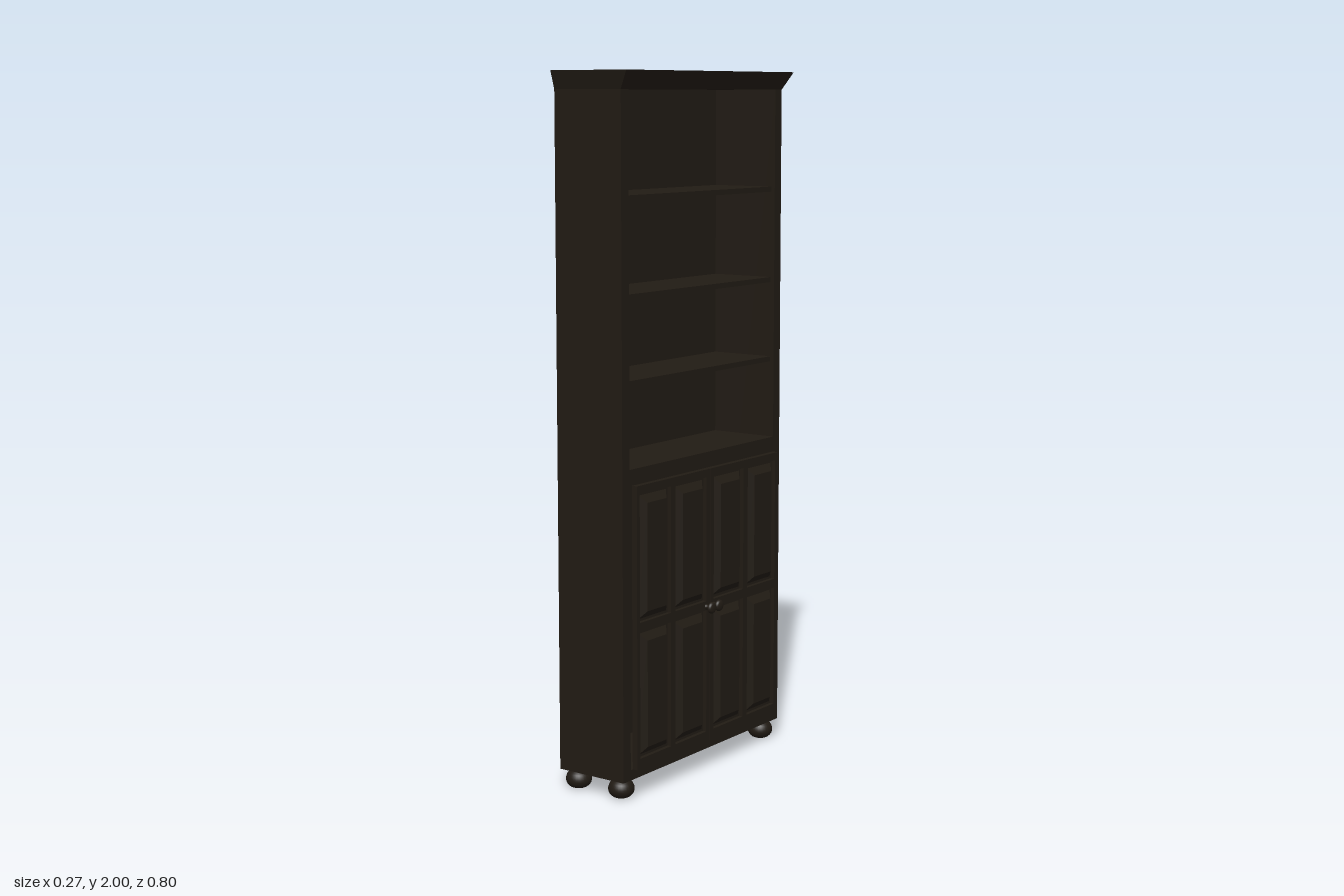
import * as THREE from 'three';

const wood = new THREE.MeshStandardMaterial({ color: 0x211b14 });

// Case dimensions, laid out facing local +z and turned to +x at the end
const W = 0.385, IN = 0.352, BACK = -0.135, FRONT = 0.09, BASE = 0.055, TOP = 2;

function add(parent, name, geometry, x = 0, y = 0, z = 0) {
  const mesh = new THREE.Mesh(geometry, wood);
  mesh.name = name;
  mesh.position.set(x, y, z);
  parent.add(mesh);
  return mesh;
}

// Box given by its limits
function slab(parent, name, x0, x1, y0, y1, z0, z1) {
  return add(parent, name, new THREE.BoxGeometry(x1 - x0, y1 - y0, z1 - z0),
    (x0 + x1) / 2, (y0 + y1) / 2, (z0 + z1) / 2);
}

// Box whose corners are moved by a rule
function shaped(w, h, d, rule) {
  const g = new THREE.BoxGeometry(w, h, d);
  const p = g.attributes.position, v = new THREE.Vector3();
  for (let i = 0; i < p.count; i++) {
    rule(v.fromBufferAttribute(p, i));
    p.setXYZ(i, v.x, v.y, v.z);
  }
  g.computeVertexNormals();
  return g;
}

function rectPath(path, x0, x1, y0, y1) {
  path.moveTo(x0, y0);
  path.lineTo(x1, y0);
  path.lineTo(x1, y1);
  path.lineTo(x0, y1);
  path.closePath();
  return path;
}

const lathe = (points, n) =>
  new THREE.LatheGeometry(new THREE.SplineCurve(points.map(p => new THREE.Vector2(...p))).getPoints(14), n);

// Framed door with four raised panels; side is -1 or 1
function makeDoor(side) {
  const door = new THREE.Group();
  door.name = side < 0 ? 'rightDoor' : 'leftDoor';
  const span = (a, b) => side < 0 ? [-b, -a] : [a, b];
  const outer = span(0.001, 0.347);
  const shape = rectPath(new THREE.Shape(), ...outer, 0.085, 0.885);
  const thick = 0.017;
  for (const [a, b] of [[0.018, 0.168], [0.19, 0.334]]) {
    for (const [y0, y1] of [[0.115, 0.475], [0.502, 0.862]]) {
      const [x0, x1] = span(a, b);
      shape.holes.push(rectPath(new THREE.Path(), x0, x1, y0, y1));
      // Raised field with sloping edges
      const w = x1 - x0, h = y1 - y0, inset = 0.022;
      const g = shaped(w - 0.012, h - 0.012, 0.018, v => {
        if (v.z > 0) {
          v.x -= Math.sign(v.x) * inset;
          v.y -= Math.sign(v.y) * inset;
        }
      });
      add(door, 'raisedPanel', g, (x0 + x1) / 2, (y0 + y1) / 2, 0.013);
    }
  }
  add(door, 'doorFrame', new THREE.ExtrudeGeometry(shape, { depth: thick, bevelEnabled: false }));
  slab(door, 'doorBacking', ...outer, 0.085, 0.885, 0, 0.005);
  // Turned knob
  const knob = add(door, 'knob', lathe([[0.008, 0], [0.006, 0.009], [0.015, 0.014],
    [0.0165, 0.02], [0.012, 0.026], [0, 0.028]], 24), side * 0.018, 0.485, thick);
  knob.rotation.x = Math.PI / 2;
  door.position.set(0.004, 0, FRONT);
  return door;
}

export function createModel() {
  const root = new THREE.Group();
  root.name = 'bookcase';
  const unit = new THREE.Group();
  unit.name = 'cabinet';
  unit.rotation.y = Math.PI / 2;
  root.add(unit);

  // Carcass
  for (const s of [-1, 1]) {
    slab(unit, 'sidePanel', s < 0 ? -W : IN, s < 0 ? -IN : W, BASE, 1.95, BACK, FRONT);
  }
  slab(unit, 'backPanel', -IN, IN, BASE, 1.95, BACK, BACK + 0.015);
  slab(unit, 'bottomPanel', -IN, IN, BASE, 0.085, BACK, FRONT);
  slab(unit, 'cabinetTop', -IN, IN, 0.885, 0.93, BACK, FRONT);

  // Open shelves
  for (const y of [1.17, 1.405, 1.67]) {
    slab(unit, 'shelf', -IN, IN, y - 0.015, y, BACK + 0.015, FRONT - 0.012);
  }

  // Crown flares at the front and both ends, flush at the back
  const depth = FRONT - BACK;
  const crown = shaped(2 * W, 0.05, depth, v => {
    if (v.y > 0) {
      v.x += Math.sign(v.x) * 0.016;
      if (v.z > 0) v.z += 0.031;
    }
  });
  add(unit, 'crown', crown, 0, TOP - 0.025, (FRONT + BACK) / 2);

  for (const s of [-1, 1]) unit.add(makeDoor(s));

  // Bun feet
  const foot = lathe([[0, 0], [0.02, 0.001], [0.034, 0.013], [0.037, 0.028],
    [0.031, 0.043], [0.022, 0.05], [0.022, 0.057]], 28);
  for (const x of [-0.347, 0.347]) {
    for (const z of [-0.098, 0.053]) add(unit, 'bunFoot', foot, x, 0, z);
  }
  return root;
}
